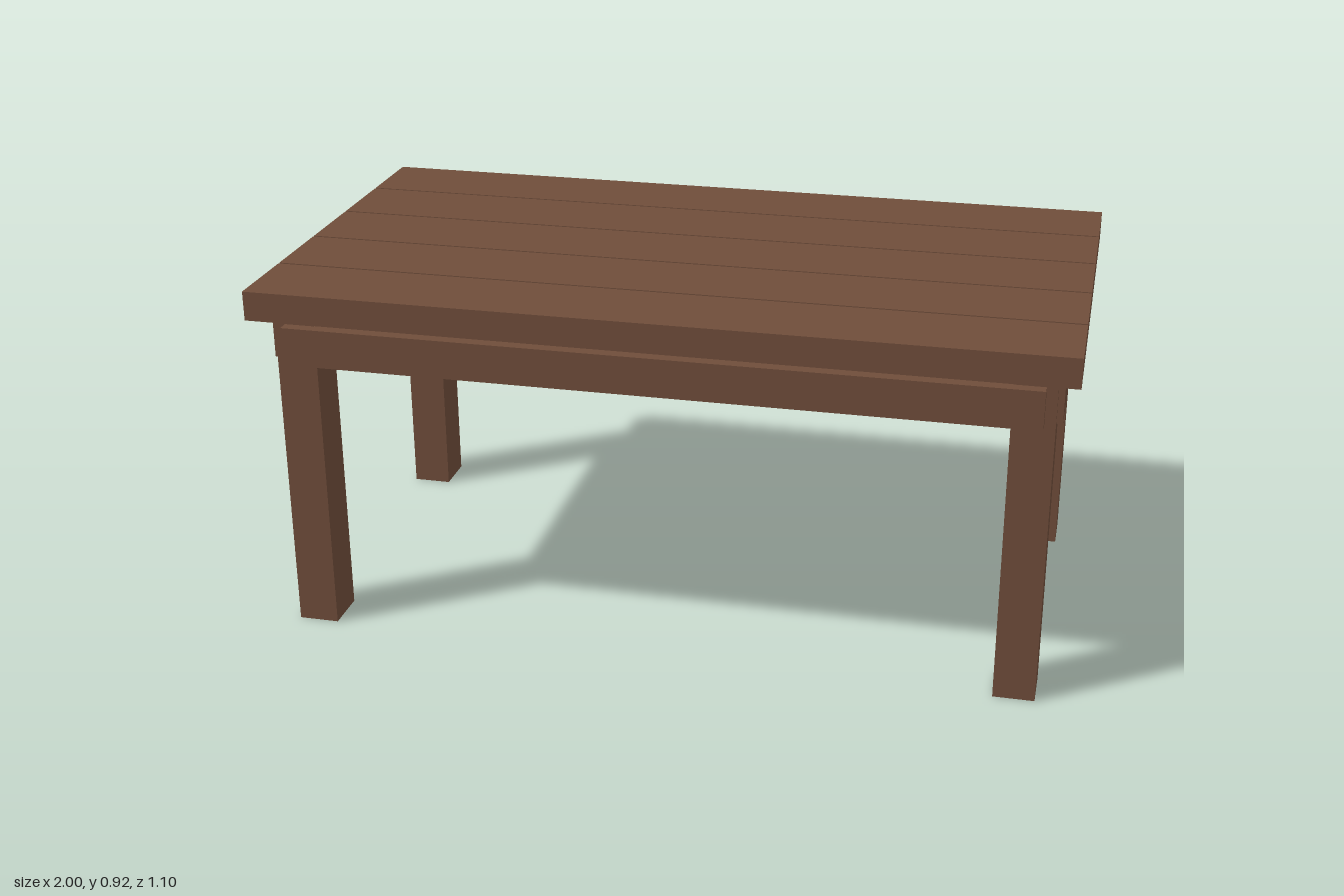
import * as THREE from 'three';

export function createModel() {
  const table = new THREE.Group();
  table.name = 'plankTable';

  const wood = new THREE.MeshStandardMaterial({ color: 0x6f4d3a });
  wood.name = 'brown wood';

  // Box given by its size and centre
  const addBeam = (name, [w, h, d], [x, y, z]) => {
    const beam = new THREE.Mesh(new THREE.BoxGeometry(w, h, d), wood);
    beam.name = name;
    beam.position.set(x, y, z);
    table.add(beam);
  };

  // Table top: five planks with narrow gaps
  const plankPitch = 0.2215;
  for (let i = -2; i <= 2; i++) {
    addBeam(`topPlank${i + 3}`, [2, 0.074, 0.215], [0, 0.881, i * plankPitch]);
  }

  // Legs reach up to the underside of the planks
  for (const [side, sx] of [['Left', 1], ['Right', -1]]) {
    for (const [end, sz] of [['front', 1], ['back', -1]]) {
      addBeam(`${end}${side}Leg`, [0.102, 0.844, 0.115], [sx * 0.898, 0.422, sz * 0.436]);
    }
  }

  // Aprons stand slightly proud of the legs and stop short of the planks
  const apronY = 0.7715, apronHeight = 0.097;
  for (const [end, sz] of [['front', 1], ['back', -1]]) {
    addBeam(`${end}Apron`, [1.845, apronHeight, 0.094], [0, apronY, sz * 0.475]);
  }
  for (const [side, sx] of [['left', 1], ['right', -1]]) {
    addBeam(`${side}Apron`, [0.083, apronHeight, 0.946], [sx * 0.9225, apronY, 0]);
  }

  return table;
}
